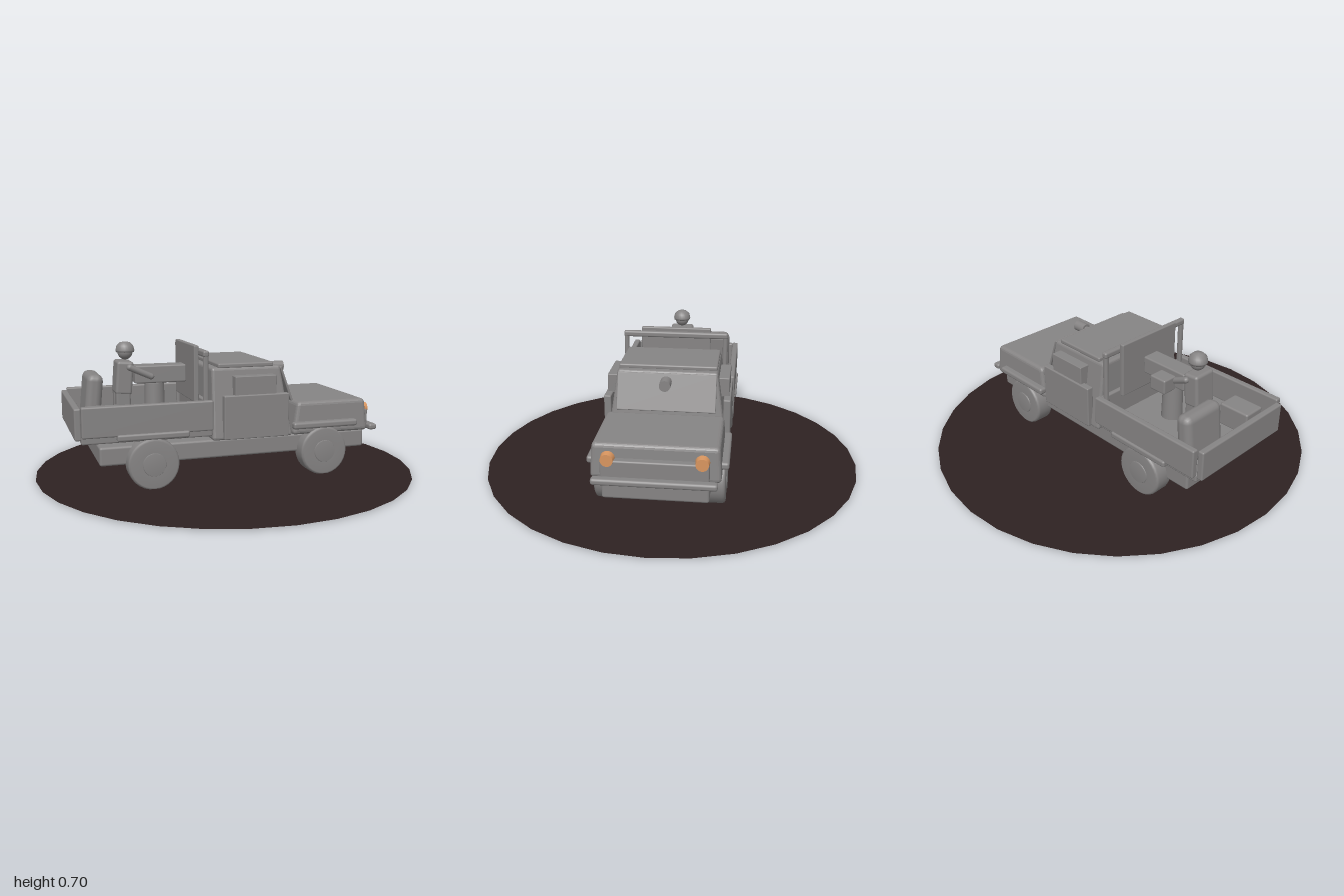
import * as THREE from 'three';
import { RoundedBoxGeometry } from 'three/addons/geometries/RoundedBoxGeometry.js';

export function createModel() {
  const model = new THREE.Group();
  const paint = new THREE.MeshStandardMaterial({ color: 0x868484 });
  const amber = new THREE.MeshStandardMaterial({ color: 0xd8955f });
  const soil = new THREE.MeshStandardMaterial({ color: 0x2e2222, side: THREE.DoubleSide });
  paint.name = 'grey paint';
  amber.name = 'amber lamp';
  soil.name = 'dark soil';

  const add = (name, geometry, x, y, z, material = paint) => {
    const mesh = new THREE.Mesh(geometry, material);
    mesh.name = name;
    mesh.position.set(x, y, z);
    model.add(mesh);
    return mesh;
  };
  // Rounded box given by its extents
  const box = (name, x0, x1, y0, y1, z0, z1, r = 0.008) => add(name,
    new RoundedBoxGeometry(x1 - x0, y1 - y0, z1 - z0, 2, r),
    (x0 + x1) / 2, (y0 + y1) / 2, (z0 + z1) / 2);
  // Narrows a box towards its top: back and front move inwards, sides scale
  const taper = (mesh, back, front, sides) => {
    const g = mesh.geometry, p = g.attributes.position;
    g.computeBoundingBox();
    const { min, max } = g.boundingBox;
    for (let i = 0; i < p.count; i++) {
      const t = (p.getY(i) - min.y) / (max.y - min.y);
      const u = (p.getX(i) - min.x) / (max.x - min.x);
      p.setX(i, p.getX(i) + t * (back * (1 - u) - front * u));
      p.setZ(i, p.getZ(i) * (1 - t * (1 - sides)));
    }
    g.computeVertexNormals();
  };
  // Cylinder or capsule between two points
  const up = new THREE.Vector3(0, 1, 0);
  const limb = (name, a, b, r) => {
    const from = new THREE.Vector3(...a), to = new THREE.Vector3(...b);
    const dir = to.clone().sub(from);
    const mid = from.add(to).multiplyScalar(0.5);
    const mesh = add(name, new THREE.CapsuleGeometry(r, dir.length(), 4, 12), mid.x, mid.y, mid.z);
    mesh.quaternion.setFromUnitVectors(up, dir.normalize());
  };

  // Ground disc
  add('groundDisc', new THREE.CircleGeometry(1, 32).rotateX(-Math.PI / 2), 0, 0.006, 0, soil);

  // Chassis and main body
  box('chassis', -0.71, 0.71, 0.12, 0.215, -0.25, 0.25, 0.012);
  taper(box('cab', -0.155, 0.275, 0.22, 0.58, -0.305, 0.305, 0.015), 0.01, 0.055, 0.83);
  box('roofPlate', -0.11, 0.185, 0.575, 0.6, -0.25, 0.25);
  taper(box('hood', 0.275, 0.705, 0.22, 0.39, -0.305, 0.305, 0.02), 0.03, 0.015, 0.965);
  const windshield = add('windshield', new RoundedBoxGeometry(0.012, 0.19, 0.5, 2, 0.004), 0.258, 0.483, 0);
  windshield.rotation.z = 0.35;

  // Nose: grille, bumper and lamps
  box('grille', 0.69, 0.732, 0.235, 0.325, -0.25, 0.25);
  box('bumper', 0.725, 0.77, 0.215, 0.247, -0.29, 0.29, 0.012);
  box('bumperMount', 0.68, 0.74, 0.215, 0.24, -0.2, 0.2);

  // Cargo bed
  box('bedFloor', -0.8, -0.155, 0.245, 0.285, -0.3, 0.3);
  box('tailgate', -0.83, -0.797, 0.265, 0.42, -0.295, 0.295);
  box('bedFrontWall', -0.18, -0.155, 0.25, 0.42, -0.3, 0.3);

  // Parts mirrored on both sides
  const hub = [[0, 0.056], [0.055, 0.056], [0.058, 0.05]];
  const tyre = [[0.058, 0.05], [0.116, 0.05], [0.125, 0.044], [0.128, 0.034], [0.128, -0.034],
    [0.125, -0.044], [0.116, -0.05], [0, -0.05]];
  for (const s of [1, -1]) {
    const sideBox = (name, x0, x1, y0, y1, z0, z1, r) =>
      box(name, x0, x1, y0, y1, Math.min(s * z0, s * z1), Math.max(s * z0, s * z1), r);
    sideBox('bedSide', -0.8, -0.158, 0.28, 0.43, 0.295, 0.328);
    sideBox('rearFender', -0.635, -0.28, 0.257, 0.29, 0.295, 0.338, 0.01);
    sideBox('frontFender', 0.27, 0.63, 0.255, 0.29, 0.29, 0.335, 0.012);
    sideBox('door', -0.1, 0.245, 0.225, 0.447, 0.285, 0.322, 0.006);
    sideBox('sideWindow', -0.04, 0.18, 0.44, 0.54, 0.245, 0.312, 0.004);
    sideBox('rollBarPost', -0.195, -0.168, 0.28, 0.66, 0.258, 0.283, 0.01);

    const lamp = add('headlamp', new THREE.CylinderGeometry(0.03, 0.034, 0.035, 20), 0.716, 0.325, s * 0.217, amber);
    lamp.rotation.z = -Math.PI / 2;

    // Wheels with a raised hub
    for (const x of [-0.455, 0.45]) {
      for (const [name, profile] of [['wheelHub', hub], ['tyre', tyre]]) {
        const g = new THREE.LatheGeometry(
          profile.map(([r, h]) => new THREE.Vector2(r, h)).reverse(), 32);
        const wheel = add(name, g, x, 0.128, s * 0.268);
        wheel.rotation.x = s * Math.PI / 2;
      }
    }
  }

  // Roll bar and rear shield
  box('rollBarTop', -0.197, -0.166, 0.638, 0.67, -0.285, 0.285, 0.01);
  box('rearShield', -0.218, -0.193, 0.4, 0.688, -0.19, 0.19, 0.006);

  // Roof searchlight
  const light = add('searchlight', new THREE.CylinderGeometry(0.028, 0.028, 0.07, 20), 0.3, 0.543, 0);
  light.rotation.z = -Math.PI / 2;
  const stem = add('searchlightStem', new THREE.CylinderGeometry(0.016, 0.016, 0.08, 12), 0.24, 0.543, 0);
  stem.rotation.z = -Math.PI / 2;

  // Mounted equipment
  add('pedestal', new THREE.CylinderGeometry(0.05, 0.055, 0.21, 20), -0.38, 0.38, 0);
  box('mountedHousing', -0.49, -0.22, 0.487, 0.578, -0.048, 0.048);
  box('sideCase', -0.45, -0.355, 0.49, 0.565, -0.142, -0.06);

  // Standing crew figure
  const torso = add('crewTorso', new RoundedBoxGeometry(0.085, 0.17, 0.13, 2, 0.015), -0.545, 0.52, 0);
  torso.rotation.z = -0.08;
  add('crewHead', new THREE.SphereGeometry(0.038, 20, 14), -0.53, 0.647, 0);
  const helmet = new THREE.LatheGeometry([[0, -0.005], [0.046, -0.005], [0.048, 0.005], [0.042, 0.028],
    [0.025, 0.044], [0, 0.048]].map(([r, h]) => new THREE.Vector2(r, h)), 24);
  add('crewHelmet', helmet, -0.53, 0.653, 0);
  for (const s of [1, -1]) {
    limb('crewArm', [-0.52, 0.575, s * 0.07], [-0.41, 0.525, s * 0.065], 0.016);
    box('crewLeg', -0.59, -0.515, 0.28, 0.46, s * 0.034 - 0.028, s * 0.034 + 0.028, 0.012);
  }

  // Cargo: chamfered pack and crate
  const pack = add('cargoPack', new RoundedBoxGeometry(0.085, 0.25, 0.245, 2, 0.035), -0.688, 0.405, -0.155);
  pack.rotation.z = -0.1;
  box('cargoCrate', -0.76, -0.592, 0.28, 0.4, 0.115, 0.235, 0.01);

  return model;
}
